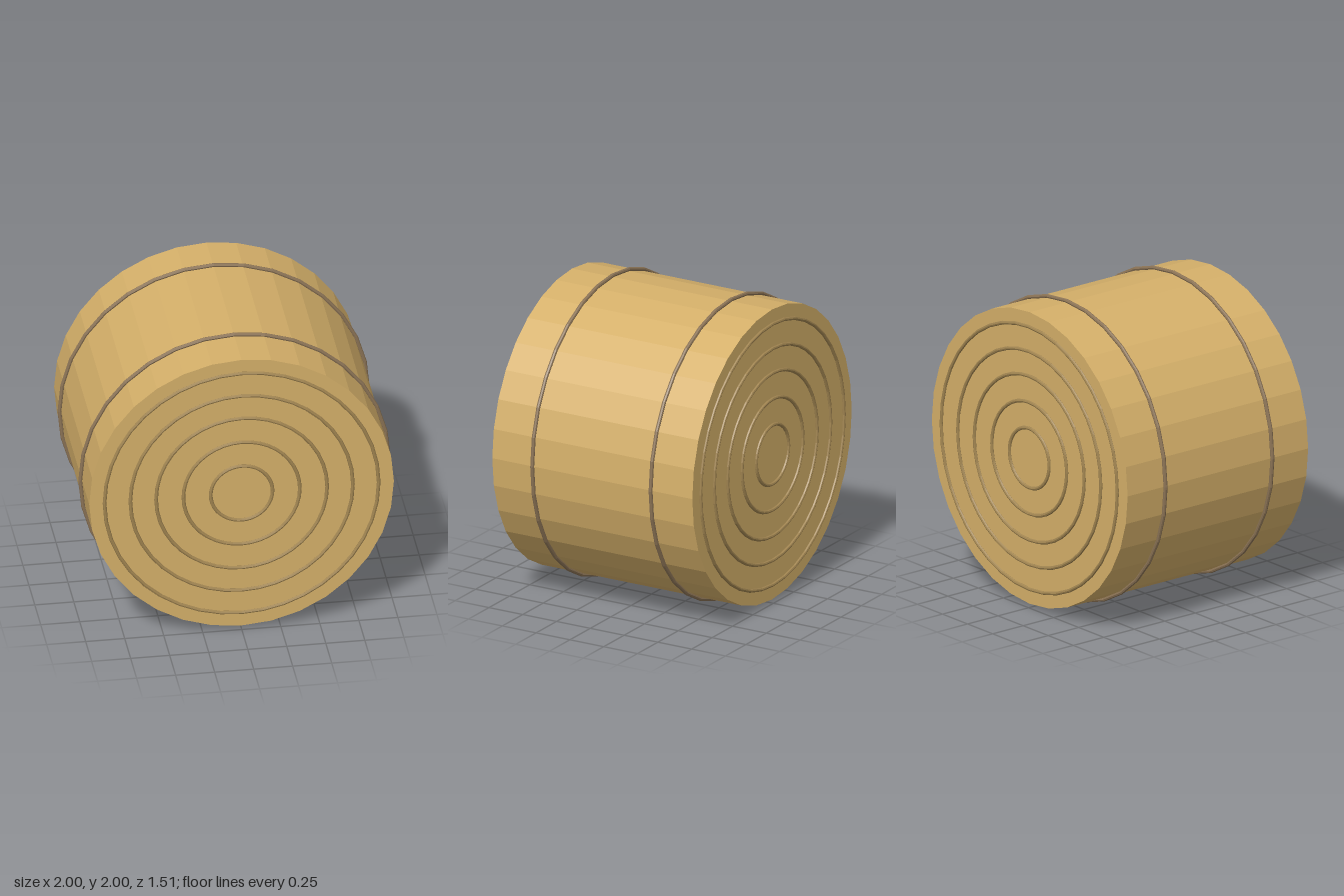
import * as THREE from 'three';

export function createModel() {
  const model = new THREE.Group();
  const tan = new THREE.MeshStandardMaterial({ color: 0xd4af69, flatShading: true });
  tan.name = 'straw tan';
  const brown = new THREE.MeshStandardMaterial({ color: 0xa08450, flatShading: true });
  brown.name = 'coil brown';
  const twine = new THREE.MeshStandardMaterial({ color: 0x8b7355, flatShading: true });
  twine.name = 'twine brown';

  const add = (name, geometry, material, z = 0) => {
    const mesh = new THREE.Mesh(geometry, material);
    mesh.name = name;
    mesh.position.set(0, 1, z);
    model.add(mesh);
  };

  // Round bale lying along z
  add('baleBody', new THREE.CylinderGeometry(0.976, 0.976, 1.48, 32).rotateX(Math.PI / 2), tan);

  for (const side of [1, -1]) {
    const end = side > 0 ? 'front' : 'back';
    // Binding twine around the body
    add(end + 'Twine', new THREE.TorusGeometry(0.987, 0.013, 8, 32), twine, side * 0.438);
    // Concentric coils on the end face
    [0.198, 0.373, 0.548, 0.713, 0.878].forEach((radius, i) => {
      add(end + 'Coil' + (i + 1), new THREE.TorusGeometry(radius, 0.012, 8, 40), brown, side * 0.742);
    });
  }
  return model;
}
